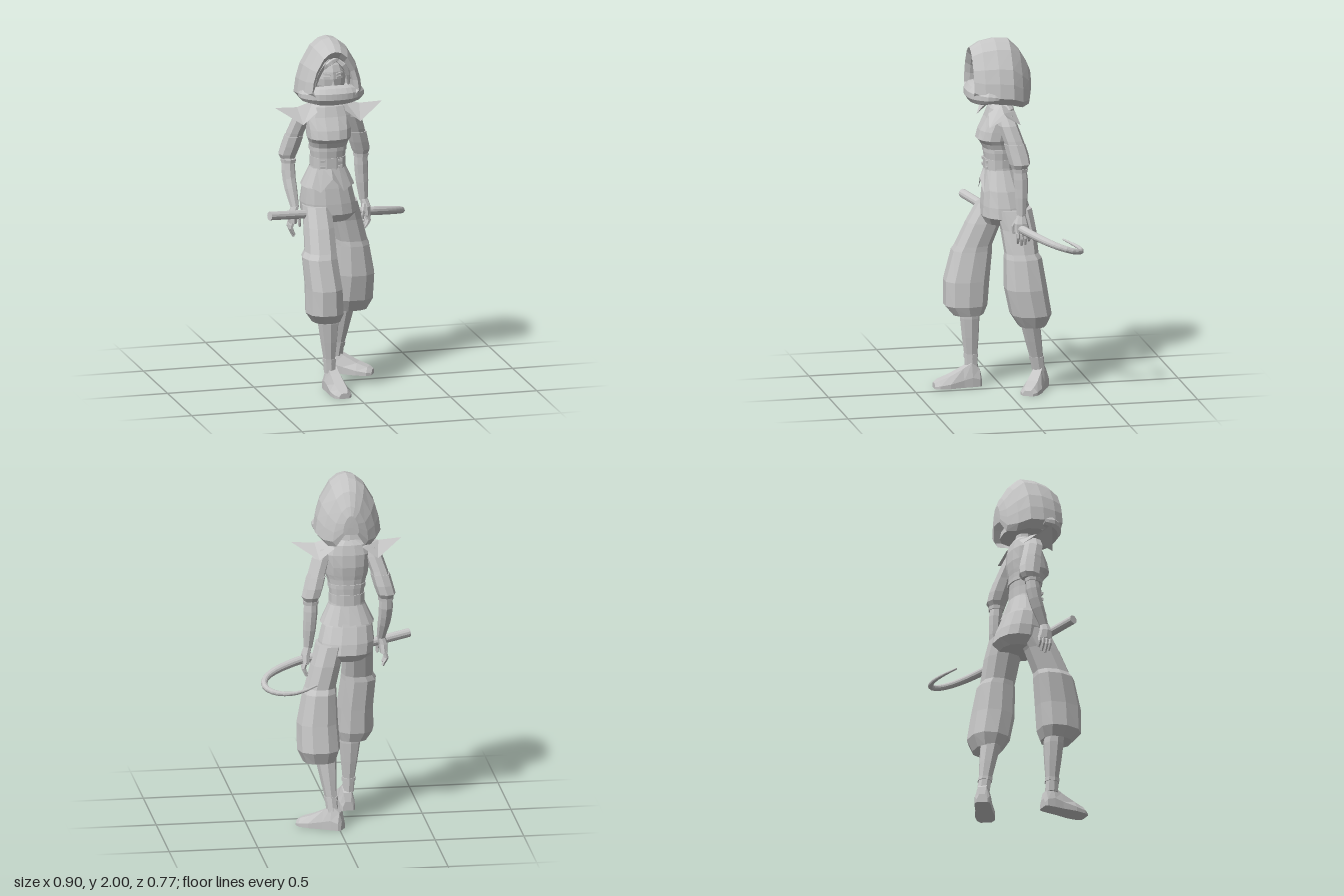
import * as THREE from 'three';

const V = (x, y, z) => new THREE.Vector3(x, y, z);
const CX = -0.075; // centre line of head and torso
const mirrorX = (x) => 2 * CX - x;

// Skin a list of rings; rings turn right-handed about the travel direction
function loft(rings, { closed = true, cap = true } = {}) {
  const n = rings[0].length, pos = [], idx = [];
  rings.forEach(r => r.forEach(p => pos.push(p.x, p.y, p.z)));
  for (let i = 0; i < rings.length - 1; i++)
    for (let j = 0; j < (closed ? n : n - 1); j++) {
      const a = i * n + j, b = i * n + (j + 1) % n;
      idx.push(a, b, a + n, b, b + n, a + n);
    }
  if (closed && cap) {
    const last = (rings.length - 1) * n;
    for (let j = 1; j < n - 1; j++) {
      idx.push(0, j + 1, j);
      idx.push(last, last + j, last + j + 1);
    }
  }
  const g = new THREE.BufferGeometry();
  g.setAttribute('position', new THREE.Float32BufferAttribute(pos, 3));
  g.setIndex(idx);
  const flat = g.toNonIndexed();
  flat.computeVertexNormals();
  return flat;
}

// Horizontal rounded-box ring
function ring([x, y, z, rx, rz], n = 12, e = 0.85) {
  const f = t => Math.sign(t) * Math.pow(Math.abs(t), e);
  return Array.from({ length: n }, (_, j) => {
    const a = (j / n) * Math.PI * 2;
    return V(x + rx * f(Math.cos(a)), y, z + rz * f(Math.sin(a)));
  });
}
const stack = (rows, n, opts) => loft(rows.map(r => ring(r, n)), opts);

// Tube with a radius list interpolated along a smooth path
function taper(points, radii, seg = 6, sides = 8, smooth = false) {
  const curve = new THREE.CatmullRomCurve3(points.map(p => V(...p)));
  const fr = curve.computeFrenetFrames(seg, false);
  const rings = [];
  for (let i = 0; i <= seg; i++) {
    const u = i / seg, k = u * (radii.length - 1), k0 = Math.min(Math.floor(k), radii.length - 2);
    const r = THREE.MathUtils.lerp(radii[k0], radii[k0 + 1], k - k0), c = curve.getPointAt(u);
    rings.push(Array.from({ length: sides }, (_, j) => {
      const a = (j / sides) * Math.PI * 2;
      return c.clone().addScaledVector(fr.normals[i], r * Math.cos(a)).addScaledVector(fr.binormals[i], r * Math.sin(a));
    }));
  }
  return loft(rings);
}

export function createModel() {
  const root = new THREE.Group();
  root.name = 'hoodedFigure';
  const grey = new THREE.MeshStandardMaterial({ color: 0xc6c6c6, side: THREE.DoubleSide });
  grey.name = 'plain grey';
  const add = (name, geo, parent = root) => {
    const m = new THREE.Mesh(geo, grey);
    m.name = name;
    parent.add(m);
    return m;
  };

  // Hood: arched sections running from the inner lining, over the rim, to the back
  const arch = [[0.8, 0], [1, 0.12], [0.94, 0.35], [0.81, 0.58], [0.5, 0.86], [0.24, 0.97]];
  const outline = [...arch.map(([u, v]) => [-u, v]), [0, 1], ...arch.slice().reverse()];
  const hood = [
    [0.07, 0.1, 1.72, 1.88], [0.15, 0.115, 1.7, 1.915], [0.178, 0.135, 1.69, 1.95],
    [0.12, 0.168, 1.66, 1.985], [0.04, 0.186, 1.65, 2], [-0.04, 0.184, 1.64, 1.995],
    [-0.1, 0.15, 1.62, 1.935], [-0.145, 0.1, 1.63, 1.86], [-0.166, 0.045, 1.7, 1.81],
  ];
  add('hood', loft(hood.map(([z, w, b, t]) => outline.map(([u, v]) => V(CX + u * w, b + v * (t - b), z))), { closed: false }));
  add('hoodBack', loft([hood[8], [-0.167, 0.01, 1.74, 1.77]].map(([z, w, b, t]) =>
    outline.map(([u, v]) => V(CX + u * w, b + v * (t - b), z)))));
  add('hoodUnderside', stack([[CX, 1.7, 0, 0.15, 0.11], [CX, 1.655, -0.01, 0.15, 0.11]], 12));

  // Rolled scarf across the lower face
  add('scarfRoll', taper([[-0.235, 1.69, 0.04], [-0.222, 1.692, 0.1], [-0.16, 1.693, 0.137], [CX, 1.693, 0.147],
    [0.01, 1.693, 0.137], [0.072, 1.692, 0.1], [0.085, 1.69, 0.04]], [0.024, 0.042, 0.055, 0.057, 0.055, 0.042, 0.024], 16, 10));

  // Head, face and fringe
  const head = new THREE.SphereGeometry(1, 12, 10).toNonIndexed();
  head.scale(0.098, 0.13, 0.105).translate(CX, 1.78, 0.025);
  head.computeVertexNormals();
  add('head', head);
  add('nose', new THREE.ConeGeometry(0.01, 0.04, 4).translate(CX, 1.768, 0.132));
  for (const s of [-1, 1]) {
    const eye = add('eye', new THREE.BoxGeometry(0.036, 0.014, 0.008));
    eye.position.set(CX + s * 0.036, 1.79, 0.124);
    eye.rotation.y = s * 0.35;
    const brow = add('brow', new THREE.BoxGeometry(0.042, 0.007, 0.009));
    brow.position.set(CX + s * 0.037, 1.812, 0.122);
    brow.rotation.set(0, s * 0.35, s * 0.15);
    add('fringe', taper([[CX + s * 0.01, 1.9, 0.1], [CX + s * 0.05, 1.875, 0.125], [CX + s * 0.085, 1.82, 0.12],
      [CX + s * 0.095, 1.74, 0.1]], [0.014, 0.022, 0.018, 0.006], 6, 6));
  }
  add('frontLock', taper([[CX + 0.03, 1.895, 0.12], [CX - 0.02, 1.885, 0.148], [CX - 0.07, 1.83, 0.125]], [0.012, 0.017, 0.004], 5, 5));

  // Torso and neck
  add('neck', stack([[CX, 1.74, 0.01, 0.045, 0.045], [CX, 1.59, 0, 0.055, 0.05]], 8));
  add('torso', stack([
    [CX, 1.63, 0, 0.06, 0.05], [CX, 1.605, 0, 0.115, 0.068], [CX, 1.55, 0.003, 0.135, 0.085],
    [CX, 1.48, 0.02, 0.128, 0.106], [CX, 1.43, 0.03, 0.124, 0.11], [CX, 1.405, 0.02, 0.113, 0.096],
    [CX, 1.37, 0.012, 0.104, 0.086], [CX, 1.3, 0.01, 0.096, 0.08], [CX, 1.22, 0.006, 0.108, 0.086],
  ], 14));
  // Waist bands with buckles
  for (const [y, h, rx] of [[1.365, 0.022, 0.107], [1.285, 0.06, 0.101]])
    add('waistBand', stack([[CX, y + h / 2, 0.01, rx, rx * 0.85], [CX, y - h / 2, 0.01, rx, rx * 0.85]], 14));
  for (const x of [-0.05, 0.05]) for (const y of [1.265, 1.3])
    add('buckle', new THREE.BoxGeometry(0.028, 0.014, 0.01).translate(CX + x, y, 0.089));

  // Flared jacket hem with a notch at the front
  const hem = ring([CX, 1.15, 0, 0.152, 0.118], 16);
  hem.forEach((p, j) => { p.y += j === 4 ? 0.05 : j === 3 || j === 5 ? -0.025 : j === 12 ? -0.02 : 0; });
  add('jacketHem', loft([ring([CX, 1.255, 0.006, 0.103, 0.085], 16), hem], { cap: false }));

  // Pointed shoulder pads: folded sheet with a ridge out to the tip
  for (const s of [-1, 1]) {
    const P = (x, y, z) => V(CX + s * x, y, z);
    const tip = P(0.311, 1.612, 0.03);
    add('shoulderPad', loft([
      [P(0.08, 1.585, 0.085), P(0.085, 1.635, 0.015), P(0.08, 1.59, -0.065)],
      [P(0.165, 1.52, 0.1), P(0.18, 1.605, 0.02), P(0.165, 1.53, -0.08)],
      [tip, tip.clone(), tip.clone()],
    ], { closed: false }));
  }

  // Arms: puffed sleeves, bracers and hands
  const arms = [
    { name: 'left', m: x => x, fore: [[0.135, 1.34, -0.06], [0.142, 1.2, -0.07], [0.155, 1.02, -0.068]] },
    { name: 'right', m: mirrorX, fore: [[-0.287, 1.34, -0.055], [-0.288, 1.2, -0.035], [-0.272, 1.03, 0.035]] },
  ];
  for (const { name, m, fore } of arms) {
    const arm = new THREE.Group();
    arm.name = name + 'Arm';
    root.add(arm);
    const S = (x, y, z, rx, rz) => [m(x), y, z, rx, rz];
    add('upperSleeve', stack([S(0.05, 1.58, 0, 0.035, 0.045), S(0.073, 1.53, -0.01, 0.05, 0.055),
      S(0.1, 1.45, -0.035, 0.05, 0.056), S(0.108, 1.42, -0.045, 0.05, 0.056)], 8), arm);
    add('lowerSleeve', stack([S(0.106, 1.43, -0.04, 0.055, 0.06), S(0.122, 1.37, -0.055, 0.055, 0.062),
      S(0.137, 1.32, -0.065, 0.053, 0.058), S(0.137, 1.295, -0.062, 0.04, 0.045)], 8), arm);
    add('forearm', taper(fore, [0.034, 0.04, 0.036, 0.024], 6, 8), arm);
    const cuff = fore[0].map((c, i) => c + (fore[1][i] - c) * 0.5);
    add('bracerCuff', stack([[cuff[0], cuff[1] + 0.025, cuff[2], 0.045, 0.045], [cuff[0], cuff[1] + 0.005, cuff[2], 0.043, 0.043]], 8), arm);

    // Palm and curled fingers
    const [wx, wy, wz] = fore[2], out = name === 'left' ? 1 : -1;
    add('palm', stack([[wx, wy + 0.01, wz, 0.022, 0.024], [wx + out * 0.012, wy - 0.035, wz + 0.003, 0.026, 0.038],
      [wx + out * 0.014, wy - 0.085, wz - 0.003, 0.022, 0.045]], 8), arm);
    for (let f = 0; f < 4; f++) {
      const z = wz + 0.028 - f * 0.021, drop = [0.145, 0.16, 0.155, 0.135][f];
      add('finger', taper([[wx + out * 0.016, wy - 0.075, z], [wx + out * 0.027, wy - 0.11, z - 0.004],
        [wx + out * 0.008, wy - drop - 0.005, z - 0.006]], [0.012, 0.011, 0.007], 4, 5), arm);
    }
    add('thumb', taper([[wx, wy - 0.02, wz + 0.022], [wx - out * 0.014, wy - 0.06, wz + 0.042],
      [wx - out * 0.016, wy - 0.1, wz + 0.04]], [0.014, 0.012, 0.007], 4, 5), arm);
  }

  // Baggy trousers
  add('trouserHips', stack([[CX, 1.23, 0.004, 0.1, 0.083], [CX, 1.14, -0.008, 0.142, 0.11], [-0.067, 1.05, -0.02, 0.158, 0.132],
    [-0.06, 0.99, -0.025, 0.158, 0.14], [-0.06, 0.945, -0.02, 0.11, 0.11]], 14));
  add('rightTrouserLeg', stack([[-0.145, 1.04, 0.02, 0.08, 0.1], [-0.147, 0.93, 0.082, 0.086, 0.1], [-0.152, 0.8, 0.138, 0.09, 0.105],
    [-0.16, 0.77, 0.146, 0.1, 0.115], [-0.146, 0.6, 0.18, 0.104, 0.13], [-0.143, 0.46, 0.186, 0.108, 0.124],
    [-0.132, 0.405, 0.175, 0.08, 0.088], [-0.125, 0.43, 0.17, 0.05, 0.05]], 10));
  add('leftTrouserLeg', stack([[0.025, 1.04, -0.05, 0.085, 0.105], [0.055, 0.93, -0.072, 0.088, 0.1], [0.088, 0.8, -0.083, 0.09, 0.095],
    [0.094, 0.77, -0.09, 0.097, 0.106], [0.108, 0.6, -0.103, 0.117, 0.12], [0.104, 0.45, -0.132, 0.122, 0.116],
    [0.1, 0.38, -0.14, 0.092, 0.078], [0.08, 0.42, -0.14, 0.05, 0.05]], 10));

  // Shins, ankle cuffs and shoes
  const legs = [
    { name: 'right', knee: [-0.118, 0.46, 0.168], ankle: [-0.105, 0.1, 0.16], turn: 0.06, heel: [-0.094, 0.165] },
    { name: 'left', knee: [0.07, 0.46, -0.125], ankle: [0.035, 0.1, -0.195], turn: 1.04, heel: [0.03, -0.2] },
  ];
  const shoe = [[-0.058, 0.03, 0.05], [-0.045, 0.042, 0.1], [0, 0.046, 0.135], [0.05, 0.047, 0.105],
    [0.13, 0.056, 0.066], [0.19, 0.05, 0.045], [0.215, 0.03, 0.03]];
  for (const { name, knee, ankle, turn, heel } of legs) {
    const mix = t => knee.map((k, i) => k + (ankle[i] - k) * t);
    const at = (t, rx, rz) => [...mix(t), rx, rz];
    add(name + 'Shin', stack([at(0, 0.062, 0.055), at(0.2, 0.06, 0.056), at(0.5, 0.047, 0.048), at(0.78, 0.034, 0.038), at(1, 0.034, 0.038)], 8));
    add(name + 'AnkleCuff', stack([at(0.77, 0.039, 0.042), at(0.83, 0.039, 0.042)], 8));
    const foot = add(name + 'Shoe', loft(shoe.map(([z, w, h]) =>
      [[w, 0], [w, 0.4 * h], [0.55 * w, h], [-0.55 * w, h], [-w, 0.4 * h], [-w, 0]].map(([x, y]) => V(x, y, z)))));
    foot.position.set(heel[0], 0, heel[1]);
    foot.rotation.y = turn;
  }

  // Hooked staff lying in a tilted plane
  const staff = [[-0.445, 0.133], [-0.27, 0.075], [-0.07, 0.012], [0.1, -0.042], [0.2, -0.073], [0.28, -0.113], [0.355, -0.16], [0.41, -0.215],
    [0.432, -0.275], [0.418, -0.325], [0.38, -0.357], [0.325, -0.373], [0.265, -0.37], [0.21, -0.35], [0.14, -0.31]];
  add('hookedStaff', taper(staff.map(([x, z]) => [x, 0.975 + 0.33 * z, z]),
    [0.025, 0.025, 0.025, 0.025, 0.024, 0.021, 0.017, 0.012, 0.005], 40, 12));

  return root;
}
